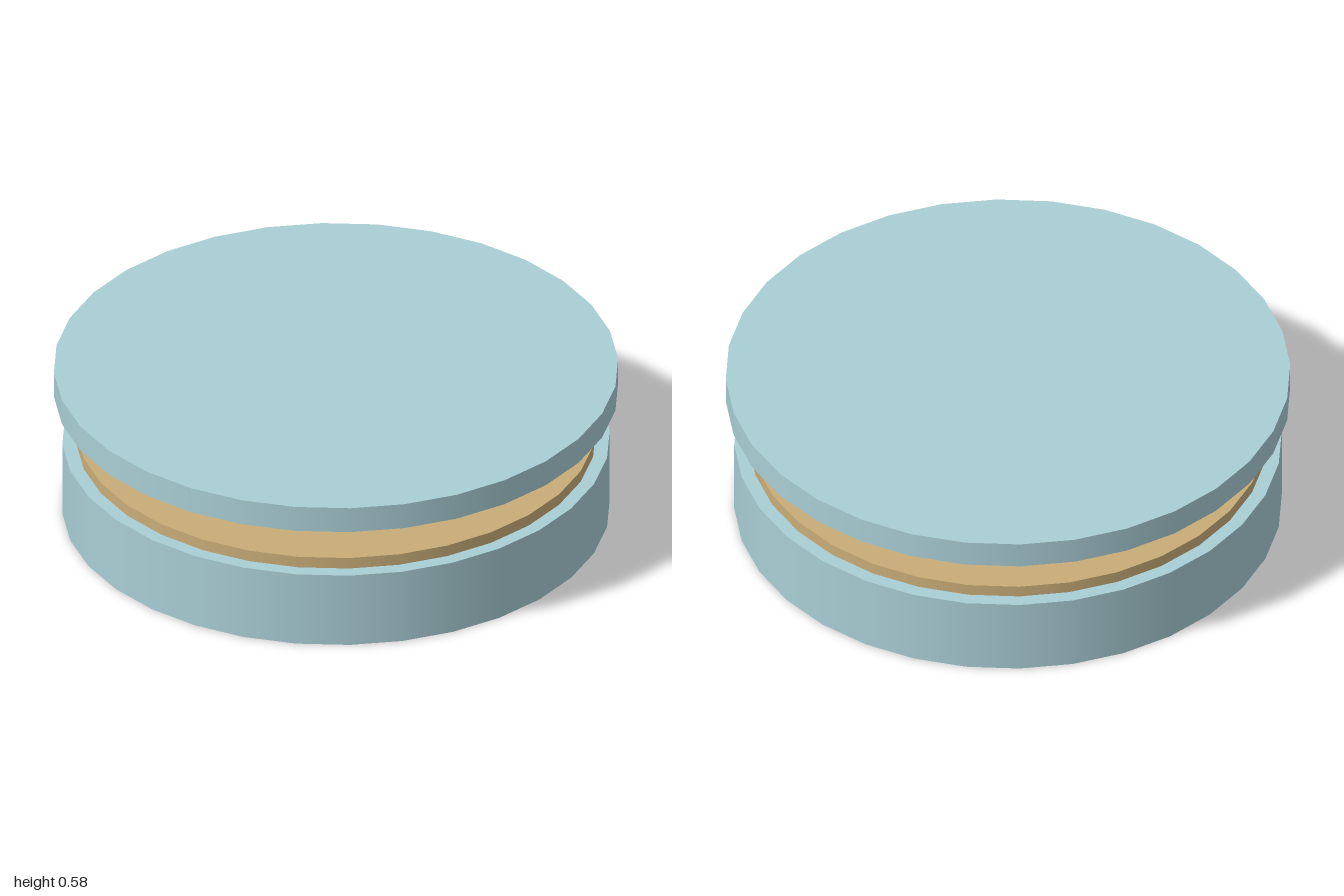
import * as THREE from 'three';

function paint(name, color) {
  const m = new THREE.MeshStandardMaterial({ color });
  m.name = name;
  return m;
}

export function createModel() {
  const group = new THREE.Group();
  group.name = 'openTin';
  const teal = paint('paleTeal', 0xa9ced5);
  const tan = paint('tan', 0xc9ad78);
  const green = paint('leafGreen', 0x8fb065);

  // A round slab between two heights
  function slab(name, radius, bottom, top, material) {
    const mesh = new THREE.Mesh(new THREE.CylinderGeometry(radius, radius, top - bottom, 32), material);
    mesh.position.y = (bottom + top) / 2;
    mesh.name = name;
    group.add(mesh);
  }
  slab('base', 0.97, 0, 0.284, teal);
  slab('filling', 0.92, 0.284, 0.327, tan);
  slab('lid', 1, 0.48, 0.578, teal);

  // Ring of balls: golden-angle steps, three sizes, two alternating colours
  const balls = new THREE.Group();
  balls.name = 'balls';
  const goldenAngle = Math.PI * (3 - Math.sqrt(5));
  const sizes = [0.0615, 0.0875, 0.1135].map((r) => new THREE.SphereGeometry(r, 24, 16));
  for (let i = 0; i < 12; i++) {
    const ball = new THREE.Mesh(sizes[i % 3], i % 2 ? tan : green);
    const a = i * goldenAngle;
    ball.position.set(Math.cos(a) * 0.655, 0.361, Math.sin(a) * 0.655);
    ball.name = 'ball' + (i + 1);
    balls.add(ball);
  }
  group.add(balls);
  return group;
}
